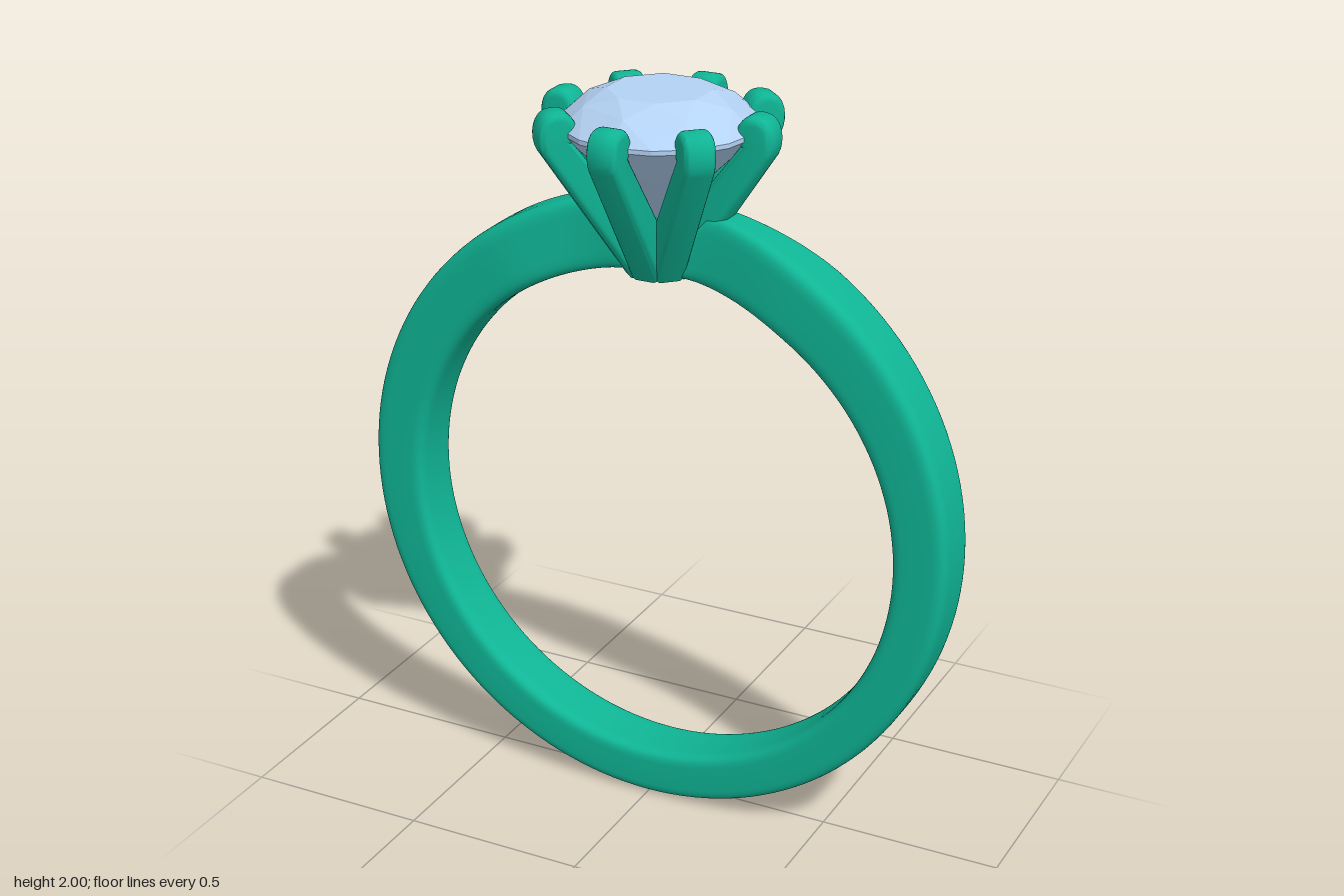
import * as THREE from 'three';
import { toCreasedNormals } from 'three/addons/utils/BufferGeometryUtils.js';
import { ConvexGeometry } from 'three/addons/geometries/ConvexGeometry.js';

const CENTRE_Y = 0.83, INNER_R = 0.695;

// Band: a rounded section swept round the finger hole, thicker and narrower towards the head
function bandGeometry() {
  const rings = 144, sides = 40, pos = [], index = [];
  const round = (v) => Math.sign(v) * Math.pow(Math.abs(v), 0.36);
  for (let i = 0; i < rings; i++) {
    const a = (i / rings) * Math.PI * 2;
    const fromTop = Math.min(a, Math.PI * 2 - a);
    const swell = Math.pow((1 + Math.cos(a)) / 2, 2);
    // the outer edge dips under the stone, inside the prongs
    const dip = 0.13 * (1 - THREE.MathUtils.smoothstep(fromTop, 0.07, 0.2));
    const outer = 0.83 + 0.06 * swell - dip;
    const halfWidth = 0.05 + 0.036 * THREE.MathUtils.smoothstep(fromTop, 0.15, 0.6);
    const mid = (outer + INNER_R) / 2, half = (outer - INNER_R) / 2;
    for (let j = 0; j < sides; j++) {
      const t = (j / sides) * Math.PI * 2;
      const r = mid + half * round(Math.cos(t));
      pos.push(Math.sin(a) * r, CENTRE_Y + Math.cos(a) * r, halfWidth * round(Math.sin(t)));
      const k = (j + 1) % sides, n = ((i + 1) % rings) * sides, c = i * sides;
      index.push(c + j, c + k, n + j, c + k, n + k, n + j);
    }
  }
  const geo = new THREE.BufferGeometry();
  geo.setAttribute('position', new THREE.Float32BufferAttribute(pos, 3));
  geo.setIndex(index);
  geo.computeVertexNormals();
  return geo;
}

// Prong: side profile (radius, height) with a rounded claw, extruded and bevelled
function prongGeometry() {
  const s = new THREE.Shape();
  s.moveTo(0, 1.515);
  s.lineTo(0.085, 1.515);
  s.lineTo(0.315, 1.865);
  s.bezierCurveTo(0.335, 1.9, 0.325, 1.965, 0.285, 1.968);
  s.bezierCurveTo(0.25, 1.975, 0.235, 1.96, 0.22, 1.92);
  s.quadraticCurveTo(0.215, 1.905, 0.237, 1.89);
  s.lineTo(0, 1.58);
  const bevel = 0.018, width = 0.082;
  const geo = new THREE.ExtrudeGeometry(s, {
    depth: width - 2 * bevel, curveSegments: 8,
    bevelEnabled: true, bevelSize: bevel, bevelThickness: bevel, bevelOffset: -bevel, bevelSegments: 4,
  });
  geo.translate(0, 0, bevel - width / 2);
  return toCreasedNormals(geo, 0.8);
}

// Stone: brilliant cut as the hull of its table, crown, girdle and point
function stoneGeometry() {
  const points = [new THREE.Vector3(0, 1.65, 0)];
  const ring = (n, r, y, turn) => {
    for (let i = 0; i < n; i++) {
      const a = ((i + turn) / n) * Math.PI * 2;
      points.push(new THREE.Vector3(Math.sin(a) * r, y, Math.cos(a) * r));
    }
  };
  ring(8, 0.135, 2.0, 0.5);
  ring(8, 0.2, 1.972, 0);
  ring(16, 0.26, 1.918, 0);
  ring(16, 0.26, 1.906, 0);
  ring(8, 0.14, 1.782, 0.5);
  return new ConvexGeometry(points);
}

export function createModel() {
  const model = new THREE.Group();
  model.name = 'ring';
  const metal = new THREE.MeshStandardMaterial({ color: 0x0fb595 });
  const crystal = new THREE.MeshStandardMaterial({ color: 0xb4d2f4 });
  crystal.flatShading = true;

  const add = (parent, name, geo, mat) => {
    const mesh = new THREE.Mesh(geo, mat);
    mesh.name = name;
    parent.add(mesh);
    return mesh;
  };

  add(model, 'band', bandGeometry(), metal);

  // Head: eight prongs fanning out from a common foot
  const head = new THREE.Group();
  head.name = 'head';
  const prong = prongGeometry();
  for (let i = 0; i < 8; i++) {
    add(head, 'prong' + (i + 1), prong, metal).rotation.y = (i * Math.PI) / 4;
  }
  model.add(head);

  add(model, 'stone', stoneGeometry(), crystal);
  return model;
}
